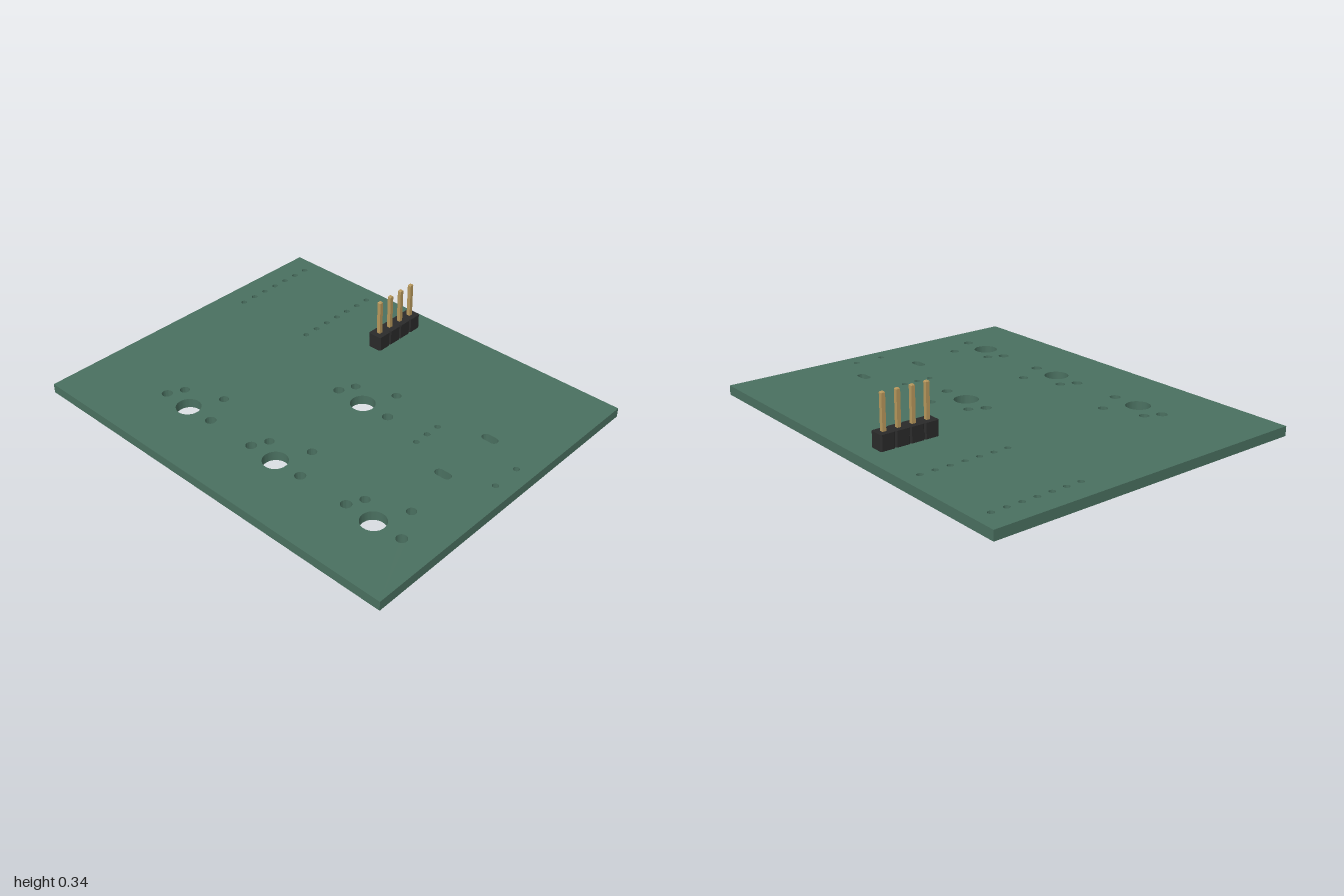
import * as THREE from 'three';
import { toCreasedNormals } from 'three/addons/utils/BufferGeometryUtils.js';

const PITCH = 0.0737;               // pin spacing
const BOARD_Y = 0.045, BOARD_T = 0.046;
const HEADER_X = -0.118, HEADER_Z = -0.57;

const boardMat = new THREE.MeshStandardMaterial({ color: 0x4a7060 });
const plasticMat = new THREE.MeshStandardMaterial({ color: 0x2a2a2a });
const pinMat = new THREE.MeshStandardMaterial({ color: 0xb8985c, flatShading: true });

// Extrude a plan outline (shape y = -z) upwards from y = 0
function slab(shape, depth) {
  const g = new THREE.ExtrudeGeometry(shape, { depth, bevelEnabled: false, curveSegments: 24 });
  g.rotateX(-Math.PI / 2);
  return toCreasedNormals(g, 0.6);
}

function add(parent, name, geometry, material, x, y, z) {
  const mesh = new THREE.Mesh(geometry, material);
  mesh.name = name;
  mesh.position.set(x, y, z);
  parent.add(mesh);
}

function createBoard() {
  const w = 1, d = 0.81;
  const shape = new THREE.Shape([[-w, -d], [w, -d], [w, d], [-w, d]].map(p => new THREE.Vector2(...p)));

  const hole = (x, z, r) =>
    shape.holes.push(new THREE.Path().absarc(x, -z, r, 0, Math.PI * 2, true));
  const slot = (x, z, half, r) => {
    const p = new THREE.Path();
    p.absarc(x + half - r, -z, r, -Math.PI / 2, Math.PI / 2, false);
    p.absarc(x - half + r, -z, r, Math.PI / 2, Math.PI * 1.5, false);
    p.closePath();
    shape.holes.push(p);
  };

  // Two rows of controller pin holes
  for (const x of [-0.882, -0.44])
    for (let i = 0; i < 7; i++) hole(x, -0.727 + i * PITCH, 0.0145);

  // Holes for the header pins
  for (let i = 0; i < 4; i++) hole(HEADER_X, HEADER_Z + (i - 1.5) * PITCH, 0.0145);

  // Key switch footprints
  for (const [x, z] of [[0.139, -0.055], [-0.415, 0.499], [0.139, 0.499], [0.693, 0.499]]) {
    hole(x, z, 0.058);
    hole(x - 2 * PITCH, z, 0.0253);
    hole(x + 2 * PITCH, z, 0.0253);
    hole(x - 1.5 * PITCH, z - PITCH, 0.0225);
    hole(x + PITCH, z - 2 * PITCH, 0.0225);
  }

  // Rotary encoder footprint
  for (const z of [-0.151, -0.078, -0.005]) hole(0.494, z, 0.0145);
  for (const z of [-0.151, -0.005]) hole(0.917, z, 0.0145);
  for (const z of [-0.24, 0.084]) slot(0.713, z, 0.041, 0.0215);

  return slab(shape, BOARD_T);
}

function createHeader() {
  const header = new THREE.Group();
  header.name = 'pinHeader';
  header.position.set(HEADER_X, 0, HEADER_Z);

  // Block with chamfered corners
  const h = PITCH / 2, c = h - 0.0074;
  const outline = [[c, -h], [h, -c], [h, c], [c, h], [-c, h], [-h, c], [-h, -c], [-c, -h]];
  const block = slab(new THREE.Shape(outline.map(p => new THREE.Vector2(...p))), PITCH);

  // Square pin with tapered ends
  const r = 0.0093 * Math.SQRT2, top = 0.337, t = 0.005;
  const profile = [[0, 0], [r * 0.6, 0], [r, t], [r, top - t], [r * 0.6, top], [0, top]];
  const pin = new THREE.LatheGeometry(profile.map(p => new THREE.Vector2(...p)), 4, Math.PI / 4);

  for (let i = 0; i < 4; i++) {
    const z = (i - 1.5) * PITCH;
    add(header, 'headerBlock', block, plasticMat, 0, BOARD_Y + BOARD_T, z);
    add(header, 'headerPin', pin, pinMat, 0, 0, z);
  }
  return header;
}

export function createModel() {
  const model = new THREE.Group();
  model.name = 'circuitBoard';
  add(model, 'board', createBoard(), boardMat, 0, BOARD_Y, 0);
  model.add(createHeader());
  return model;
}
